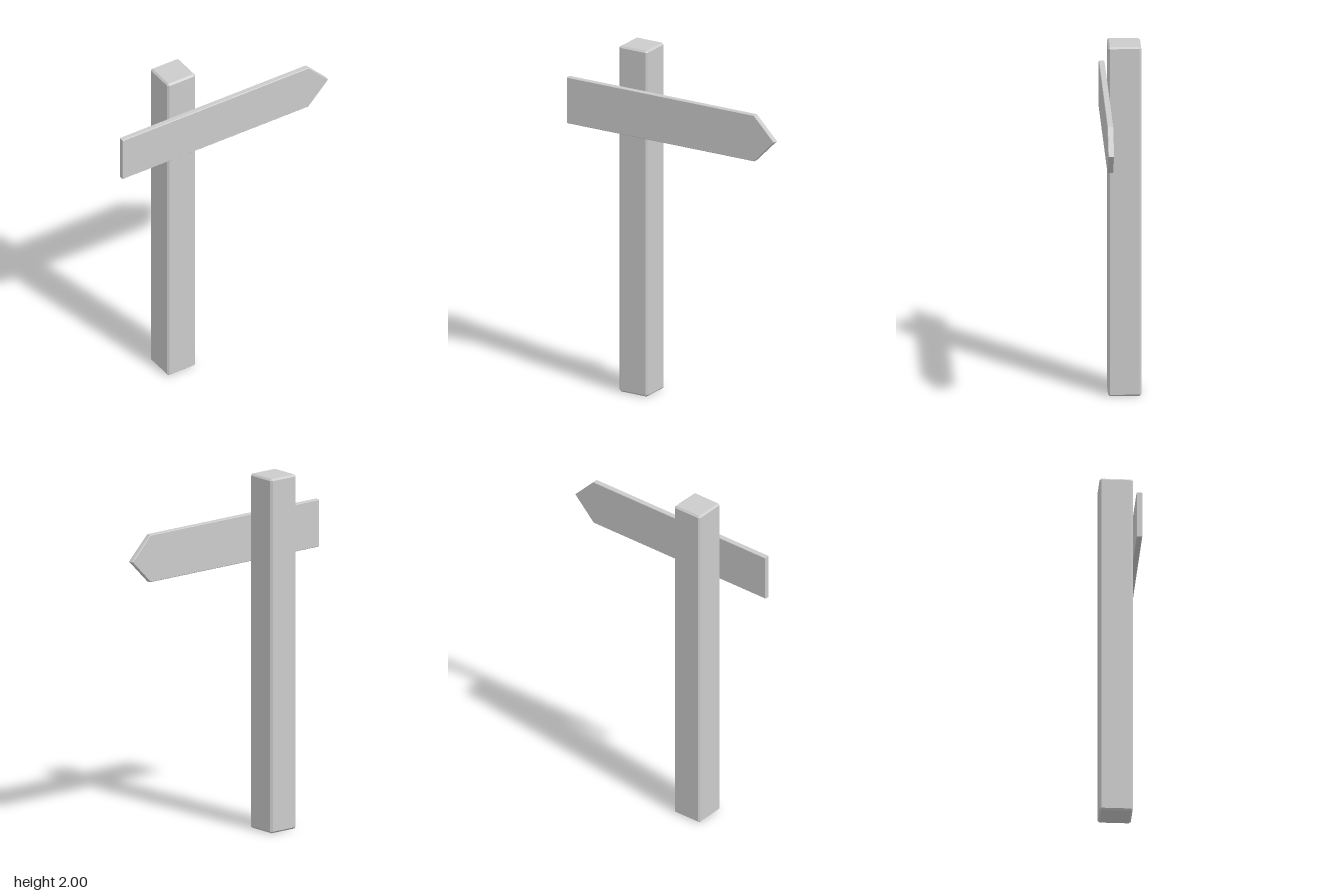
import * as THREE from 'three';
import { ConvexGeometry } from 'three/addons/geometries/ConvexGeometry.js';

const material = new THREE.MeshStandardMaterial({ color: 0xcccccc, flatShading: true });

// Box with all twelve edges chamfered by c
function chamferedBox(w, h, d, c) {
  const points = [];
  for (const sx of [-1, 1]) for (const sy of [-1, 1]) for (const sz of [-1, 1]) {
    const [x, y, z] = [w / 2, h / 2, d / 2];
    points.push(
      new THREE.Vector3(sx * x, sy * (y - c), sz * (z - c)),
      new THREE.Vector3(sx * (x - c), sy * y, sz * (z - c)),
      new THREE.Vector3(sx * (x - c), sy * (y - c), sz * z));
  }
  return new ConvexGeometry(points);
}

export function createModel() {
  const group = new THREE.Group();
  group.name = 'signpost';

  // Square post
  const post = new THREE.Mesh(chamferedBox(0.182, 2, 0.182, 0.01), material);
  post.name = 'post';
  post.position.set(-0.263, 1, -0.016);
  group.add(post);

  // Arrow board on the front of the post, pointing to +x
  const left = -0.67, shoulder = 0.54, tip = 0.67, half = 0.133;
  const outline = new THREE.Shape([
    [left, -half], [shoulder, -half], [tip, 0], [shoulder, half], [left, half],
  ].map(([x, y]) => new THREE.Vector2(x, y)));
  const bevel = 0.003, thickness = 0.032;
  const boardGeometry = new THREE.ExtrudeGeometry(outline, {
    depth: thickness - 2 * bevel,
    bevelThickness: bevel, bevelSize: bevel, bevelOffset: -bevel, bevelSegments: 1,
  });
  const board = new THREE.Mesh(boardGeometry, material);
  board.name = 'arrowBoard';
  board.position.set(0, 1.637, 0.075 + bevel);
  group.add(board);

  return group;
}
